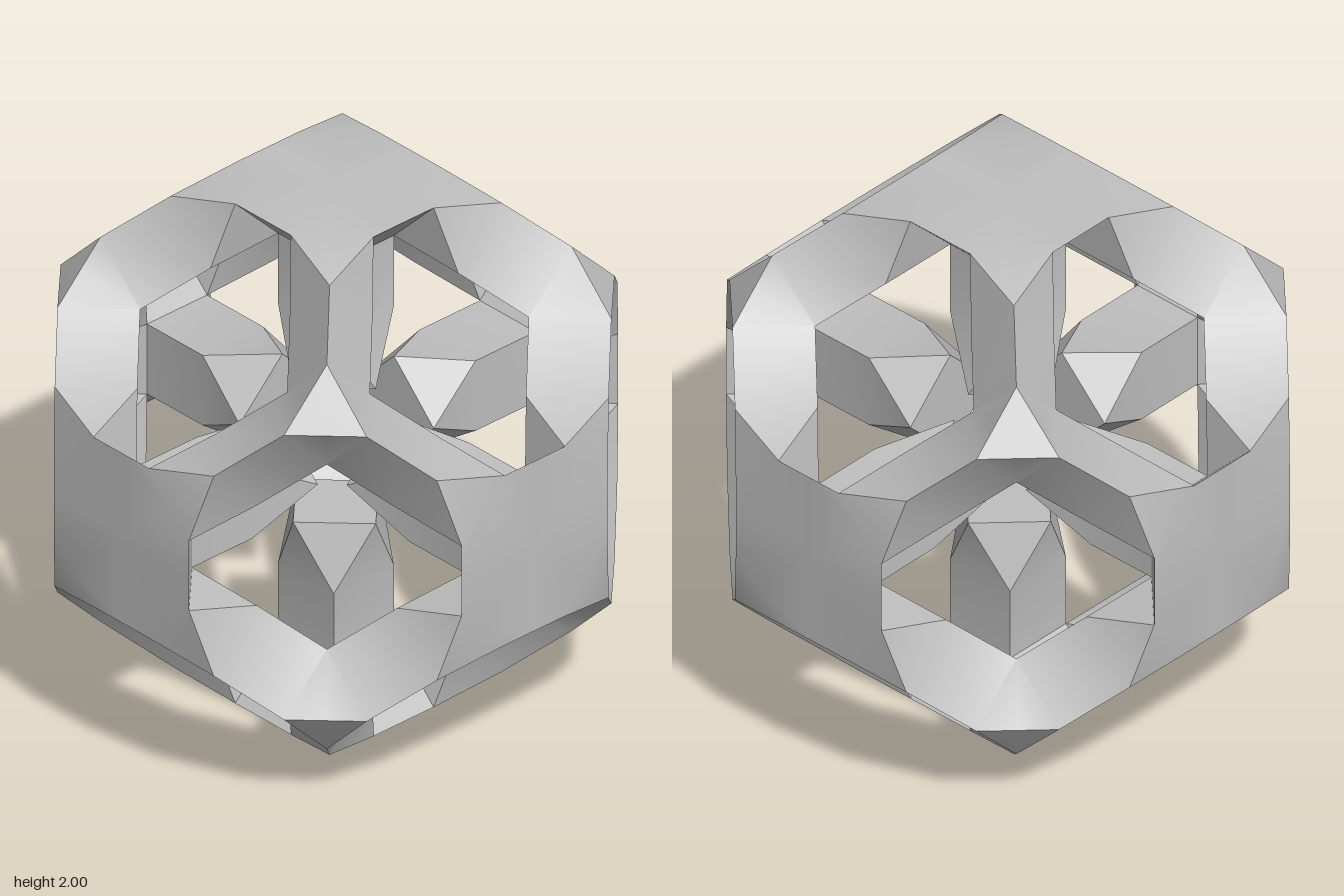
import * as THREE from 'three';
import { toCreasedNormals } from 'three/addons/utils/BufferGeometryUtils.js';

// Key points of one 1/48 wedge (y >= z >= x >= 0); everything else is mirrored.
const p = {
  top: [0, 1, 0], rimMid: [0, 1, 0.34], rim: [0.14, 1, 0.34], rimDiag: [0.24, 1, 0.24],
  ridge: [0.4, 0.94, 0.4], corner: [0.57, 0.77, 0.57], cornerMid: [0.57, 0.67, 0.67],
  cornerCentre: [0.637, 0.637, 0.637],
  rootMid: [0, 0.8, 0.14], root: [0.14, 0.8, 0.14],
  bend: [0.2, 0.74, 0.4], bendMid: [0.3, 0.74, 0.3],
  inner: [0.37, 0.57, 0.57], innerMid: [0.47, 0.57, 0.47], innerCentre: [0.503, 0.503, 0.503],
  neckMid: [0, 0.52, 0.14], neck: [0.14, 0.52, 0.14],
  tip: [0, 0.27, 0.2], tipMid: [0.1, 0.27, 0.1], tipCentre: [0, 0.27, 0],
};

// Faces of each part inside the wedge, counter-clockwise from outside
const parts = {
  // six gently domed plates
  facePlates: ['top rimMid rim rimDiag', 'rimDiag rim ridge'],
  // tapering walls around the twelve openings
  openingWalls: ['rootMid root rim rimMid', 'rim root bend', 'rim bend ridge',
    'ridge bend inner corner', 'corner inner cornerMid'],
  // small triangles on the eight outer corners
  cornerPads: ['corner cornerMid cornerCentre'],
  // inside faces of the struts
  strutInsides: ['inner bend bendMid innerMid', 'bend root bendMid', 'inner innerMid innerCentre'],
  // square spokes pointing to the middle, twisting into a diamond tip
  spokes: ['root rootMid neckMid neck', 'neck neckMid tip', 'neck tip tipMid', 'tipMid tip tipCentre'],
};

// Axis orders with their parity, and the eight sign combinations
const orders = [[0, 1, 2, 1], [1, 2, 0, 1], [2, 0, 1, 1], [0, 2, 1, -1], [2, 1, 0, -1], [1, 0, 2, -1]];
const signs = [];
for (const x of [1, -1]) for (const y of [1, -1]) for (const z of [1, -1]) signs.push([x, y, z]);

function symmetricGeometry(faces) {
  const positions = [];
  for (const [i, j, k, parity] of orders) {
    for (const [sx, sy, sz] of signs) {
      const flip = parity * sx * sy * sz < 0;
      for (const face of faces) {
        const pts = face.split(' ').map((n) => [p[n][i] * sx, p[n][j] * sy, p[n][k] * sz]);
        if (flip) pts.reverse();
        for (let t = 1; t < pts.length - 1; t++) positions.push(...pts[0], ...pts[t], ...pts[t + 1]);
      }
    }
  }
  const geometry = new THREE.BufferGeometry();
  geometry.setAttribute('position', new THREE.Float32BufferAttribute(positions, 3));
  return toCreasedNormals(geometry, 0.55);
}

export function createModel() {
  const model = new THREE.Group();
  model.name = 'openworkBlock';
  const grey = new THREE.MeshStandardMaterial({ color: 0xc0c0c0 });
  grey.name = 'plain grey';
  for (const [name, faces] of Object.entries(parts)) {
    const mesh = new THREE.Mesh(symmetricGeometry(faces), grey);
    mesh.name = name;
    mesh.position.y = 1;
    model.add(mesh);
  }
  return model;
}
